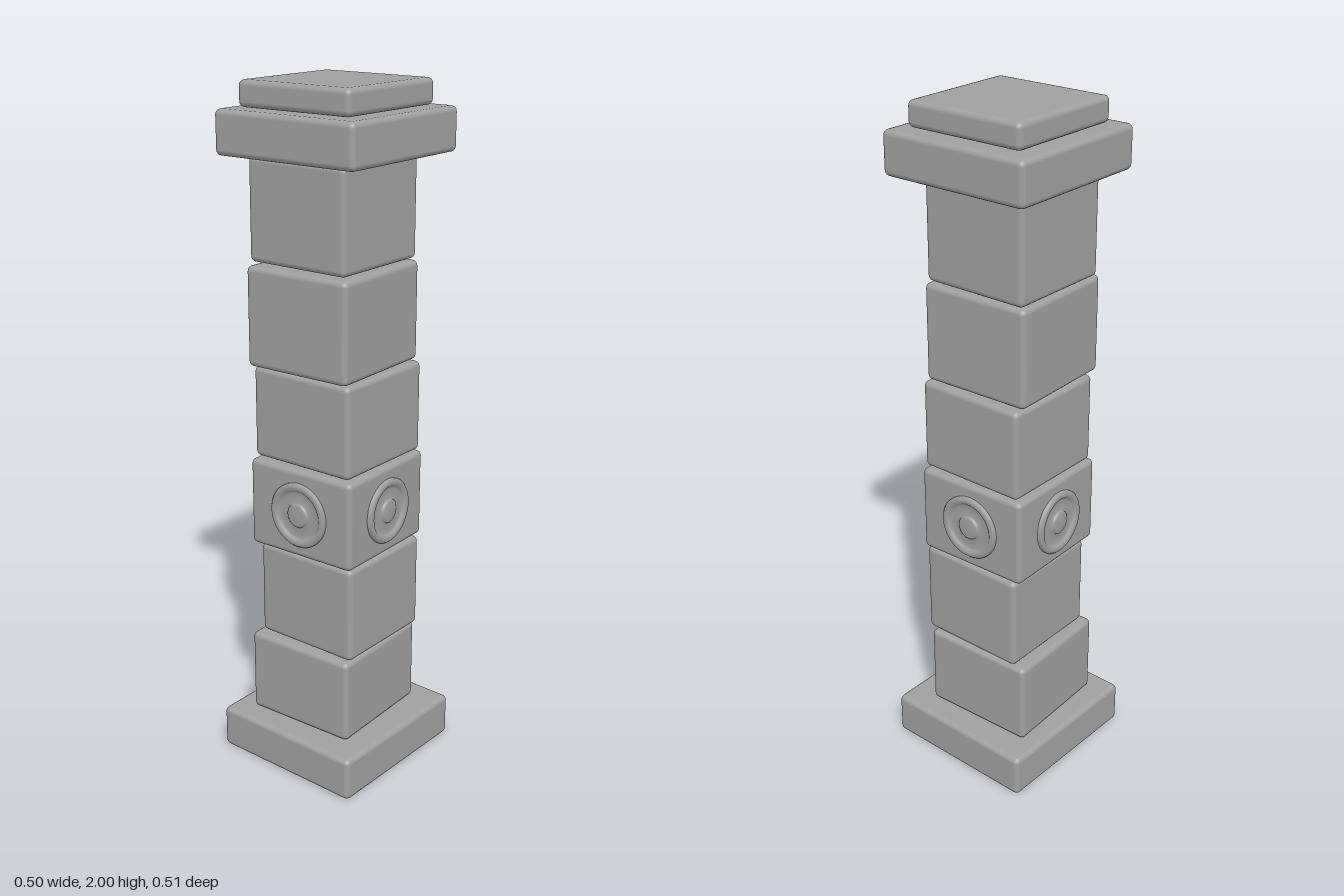
import * as THREE from 'three';
import { RoundedBoxGeometry } from 'three/addons/geometries/RoundedBoxGeometry.js';

const stone = new THREE.MeshStandardMaterial({ color: 0xa0a0a0 });
stone.name = 'grey stone';

// Stone block given by its outer bounds, shrunk so that it keeps them when turned by yaw
function block(name, [x0, x1], [y0, y1], [z0, z1], yaw) {
  const spread = Math.cos(yaw) + Math.abs(Math.sin(yaw));
  const geometry = new RoundedBoxGeometry((x1 - x0) / spread, y1 - y0, (z1 - z0) / spread, 2, 0.016);
  const mesh = new THREE.Mesh(geometry, stone);
  mesh.name = name;
  mesh.position.set((x0 + x1) / 2, (y0 + y1) / 2, (z0 + z1) / 2);
  mesh.rotation.y = yaw;
  return mesh;
}

// Round carving: raised outer ring, sunken dish and central boss, facing +z
function medallionGeometry() {
  const profile = [
    [0.096, -0.006], [0.096, 0.006], [0.091, 0.012], [0.079, 0.012], [0.073, 0.006],
    [0.066, 0.002], [0.037, 0.002], [0.035, 0.008], [0.029, 0.012], [0, 0.012],
  ].map(([r, h]) => new THREE.Vector2(r, h));
  const geometry = new THREE.LatheGeometry(profile, 40);
  geometry.rotateX(Math.PI / 2);
  return geometry;
}

export function createModel() {
  const model = new THREE.Group();
  model.name = 'stonePillar';

  // Plinth, six loosely stacked shaft blocks, and a two-step cap
  const stack = [
    ['base', [-0.252, 0.25], [0, 0.13], [-0.254, 0.254], -0.03],
    ['shaftBlock1', [-0.19, 0.168], [0.132, 0.385], [-0.176, 0.18], 0.02],
    ['shaftBlock2', [-0.162, 0.177], [0.39, 0.676], [-0.173, 0.161], -0.015],
    ['carvedBlock', [-0.18, 0.18], [0.681, 0.944], [-0.18, 0.18], 0.012],
    ['shaftBlock4', [-0.172, 0.173], [0.949, 1.217], [-0.174, 0.168], -0.015],
    ['shaftBlock5', [-0.177, 0.169], [1.222, 1.508], [-0.164, 0.189], 0.02],
    ['shaftBlock6', [-0.178, 0.157], [1.513, 1.801], [-0.162, 0.168], -0.012],
    ['capSlab', [-0.235, 0.235], [1.803, 1.926], [-0.233, 0.234], -0.008],
    ['capTop', [-0.188, 0.188], [1.928, 2], [-0.186, 0.19], -0.008],
  ];
  for (const part of stack) model.add(block(...part));

  // One carving on each side of the carved block
  const carved = model.getObjectByName('carvedBlock');
  const geometry = medallionGeometry();
  ['front', 'left', 'back', 'right'].forEach((side, i) => {
    const angle = i * Math.PI / 2;
    const medallion = new THREE.Mesh(geometry, stone);
    medallion.name = side + 'Medallion';
    medallion.position.set(Math.sin(angle) * 0.178, 0, Math.cos(angle) * 0.178);
    medallion.rotation.y = angle;
    carved.add(medallion);
  });

  return model;
}
